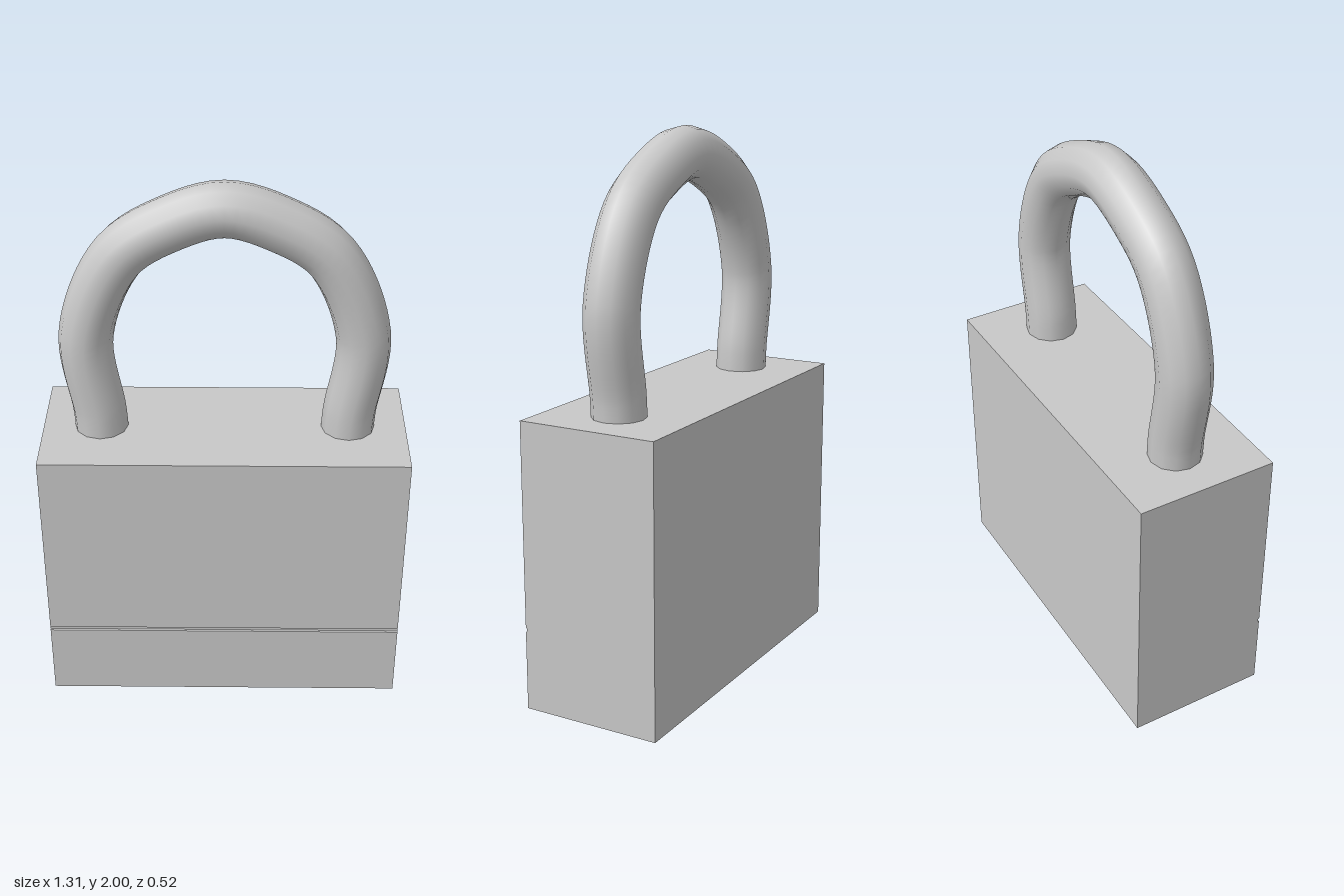
import * as THREE from 'three';

const HALF_W = 0.656, HEIGHT = 1.05, HALF_D = 0.261;

export function createModel() {
  const group = new THREE.Group();
  group.name = 'padlock';

  const steel = new THREE.MeshStandardMaterial({ color: 0xc8c8c8 });
  steel.name = 'steel grey';

  // Body: side profile with a shallow groove across the front, extruded along x
  const groove = 0.005;
  const profile = new THREE.Shape([
    [-HALF_D, 0], [HALF_D, 0],
    [HALF_D, 0.289], [HALF_D - groove, 0.292],
    [HALF_D - groove, 0.302], [HALF_D, 0.305],
    [HALF_D, HEIGHT], [-HALF_D, HEIGHT],
  ].map(([z, y]) => new THREE.Vector2(z, y)));
  const bodyGeometry = new THREE.ExtrudeGeometry(profile, { depth: HALF_W * 2, bevelEnabled: false });
  bodyGeometry.translate(0, 0, -HALF_W).rotateY(-Math.PI / 2);
  const body = new THREE.Mesh(bodyGeometry, steel);
  body.name = 'body';
  group.add(body);

  // Shackle: mirrored half path swept as a round bar, its ends sunk into the body
  const half = [[0.444, 1.0], [0.45, 1.12], [0.484, 1.43], [0.36, 1.733], [0.18, 1.853]];
  const path = [
    ...half.map(([x, y]) => new THREE.Vector3(-x, y, 0)),
    new THREE.Vector3(0, 1.904, 0),
    ...half.map(([x, y]) => new THREE.Vector3(x, y, 0)).reverse(),
  ];
  const curve = new THREE.CatmullRomCurve3(path);
  const shackle = new THREE.Mesh(new THREE.TubeGeometry(curve, 64, 0.096, 12), steel);
  shackle.name = 'shackle';
  group.add(shackle);

  return group;
}
